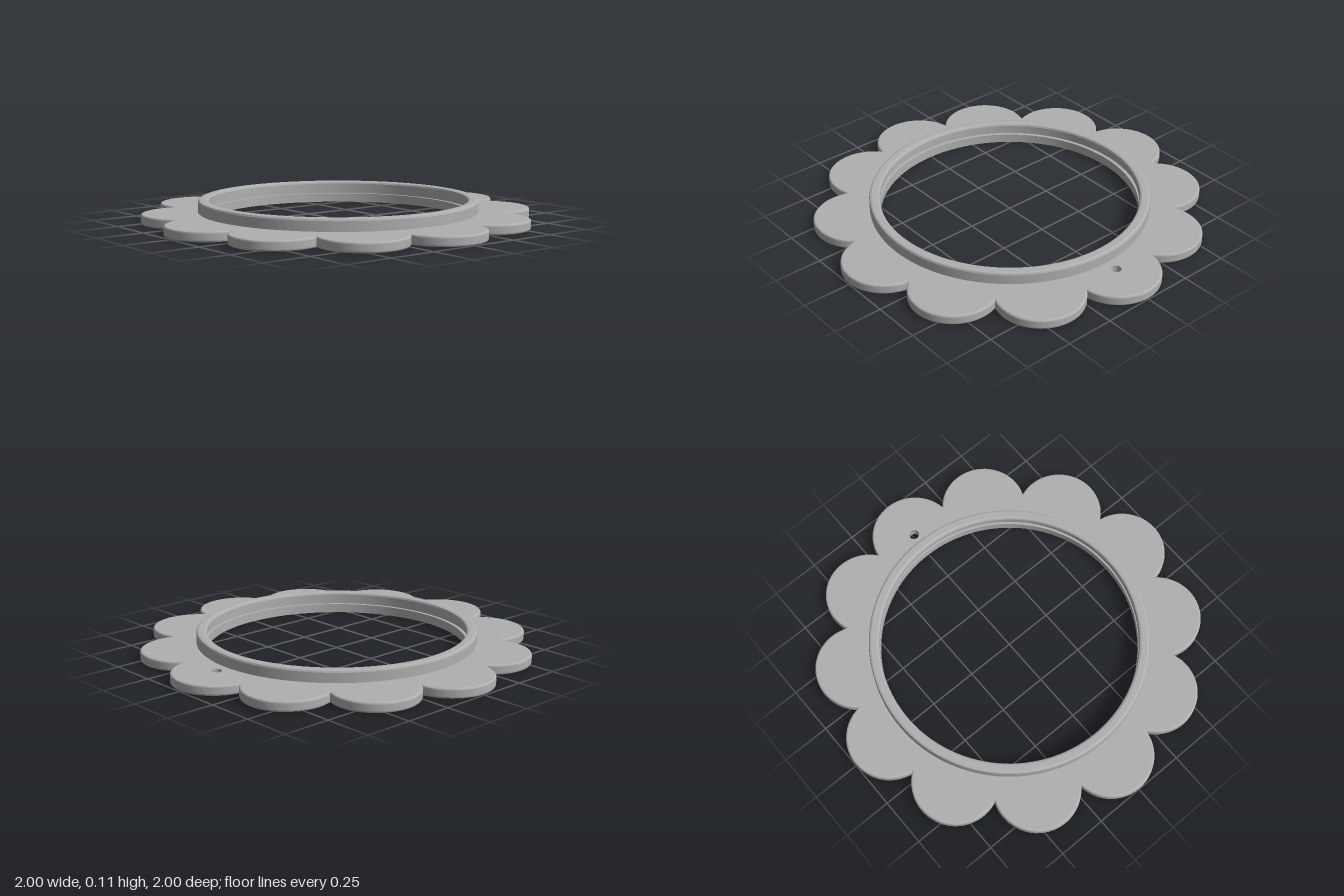
import * as THREE from 'three';
import { toCreasedNormals } from 'three/addons/utils/BufferGeometryUtils.js';

const PETALS = 12, PETAL_CENTRE = 0.78, PETAL_RADIUS = 0.22;
const PLATE_TOP = 0.052, BEVEL = 0.01;
const RING_OUTER = 0.714, RING_INNER = 0.66, RING_TOP = 0.114;
const HOLE_RADIUS = 0.026;

const circle = (cx, cy, r, n) => Array.from({ length: n }, (_, i) => {
  const a = (i / n) * Math.PI * 2;
  return new THREE.Vector2(cx + r * Math.cos(a), cy + r * Math.sin(a));
});

// Scalloped outline: one arc per petal, meeting in sharp notches
function flowerOutline() {
  const points = [], steps = 26, half = Math.PI / PETALS;
  const sweep = half + Math.asin(PETAL_CENTRE * Math.sin(half) / PETAL_RADIUS);
  for (let p = 0; p < PETALS; p++) {
    const axis = (p / PETALS) * Math.PI * 2;
    for (let i = 0; i < steps; i++) {
      const a = axis - sweep + (2 * sweep * i) / steps;
      points.push(new THREE.Vector2(
        PETAL_CENTRE * Math.cos(axis) + PETAL_RADIUS * Math.cos(a),
        PETAL_CENTRE * Math.sin(axis) + PETAL_RADIUS * Math.sin(a)));
    }
  }
  return points;
}

function plateGeometry() {
  const shape = new THREE.Shape(flowerOutline());
  shape.holes.push(new THREE.Path(circle(0, 0, RING_OUTER - 0.003, 120)));
  shape.holes.push(new THREE.Path(circle(0, PETAL_CENTRE, HOLE_RADIUS, 32)));
  const geometry = new THREE.ExtrudeGeometry(shape, {
    depth: PLATE_TOP - 2 * BEVEL, bevelThickness: BEVEL, bevelSize: BEVEL,
    bevelOffset: -BEVEL, bevelSegments: 3,
  });
  // Keep both openings straight-walled: only the petal rim stays rounded
  const pos = geometry.attributes.position;
  const snap = (i, cy, limit, radius) => {
    const x = pos.getX(i), y = pos.getY(i) - cy, d = Math.hypot(x, y);
    if (d < limit) pos.setXY(i, (x / d) * radius, cy + (y / d) * radius);
  };
  for (let i = 0; i < pos.count; i++) {
    snap(i, 0, 0.735, RING_OUTER - 0.003);
    snap(i, PETAL_CENTRE, 0.045, HOLE_RADIUS);
  }
  geometry.translate(0, 0, BEVEL);
  geometry.rotateX(-Math.PI / 2);
  return toCreasedNormals(geometry, 0.2);
}

// Raised ring with rounded top edges and a groove inside the opening
function ringGeometry() {
  const f = 0.012, c = f * 0.3;
  const profile = [
    [RING_INNER, 0], [RING_OUTER, 0],
    [RING_OUTER, RING_TOP - f], [RING_OUTER - c, RING_TOP - c], [RING_OUTER - f, RING_TOP],
    [RING_INNER + f, RING_TOP], [RING_INNER + c, RING_TOP - c], [RING_INNER, RING_TOP - f],
    [RING_INNER, 0.075], [RING_INNER + 0.018, 0.075],
    [RING_INNER + 0.018, 0.047], [RING_INNER, 0.047], [RING_INNER, 0],
  ].map(([r, y]) => new THREE.Vector2(r, y));
  return toCreasedNormals(new THREE.LatheGeometry(profile, 120), 0.2);
}

export function createModel() {
  const grey = new THREE.MeshStandardMaterial({ color: 0xb0b0b0 });
  grey.name = 'grey';
  const model = new THREE.Group();
  model.name = 'flowerFrame';
  const add = (name, geometry) => {
    const mesh = new THREE.Mesh(geometry, grey);
    mesh.name = name;
    model.add(mesh);
  };
  add('petalPlate', plateGeometry());
  add('raisedRing', ringGeometry());
  return model;
}
